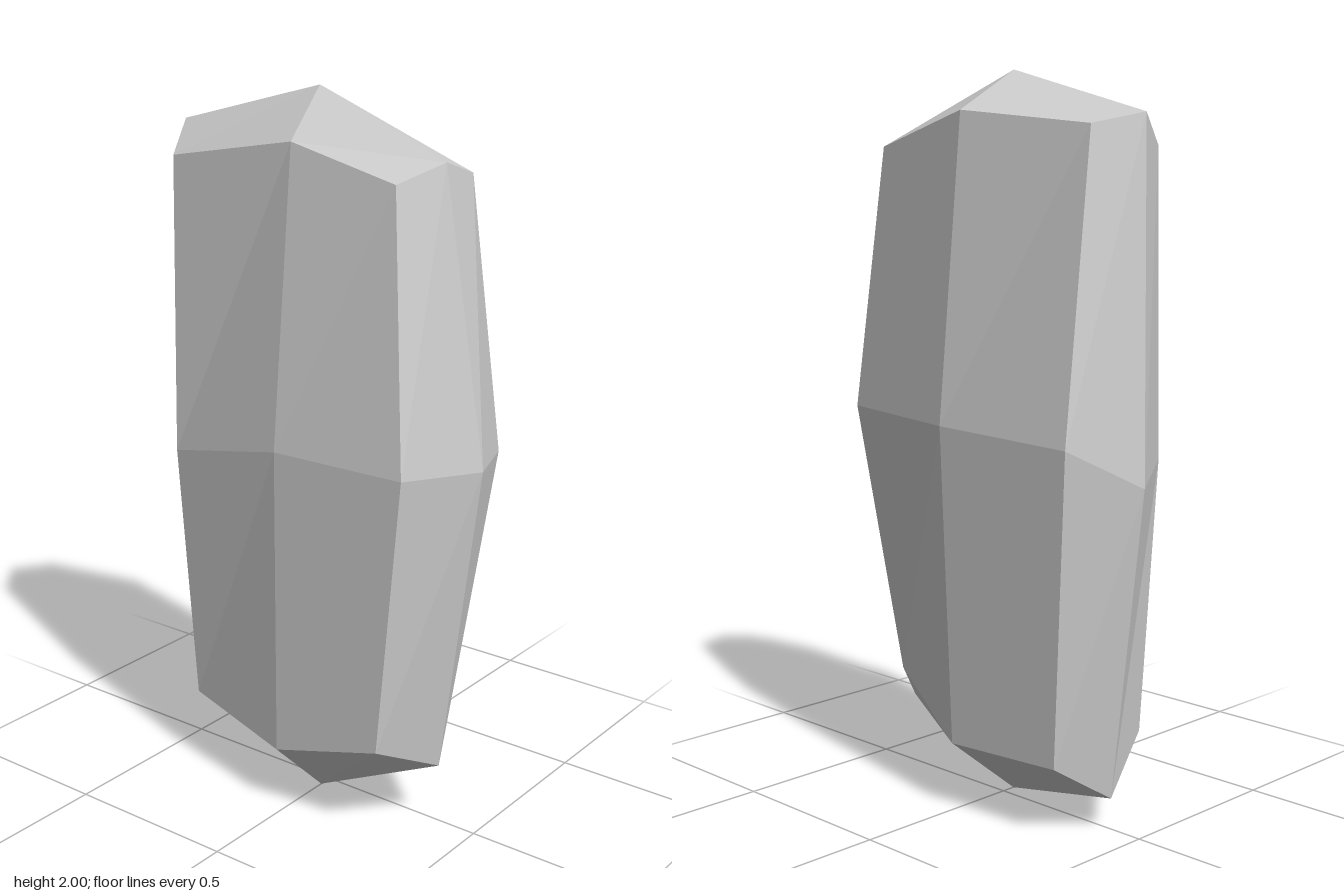
import * as THREE from 'three';

// Three rings of the stone, each from back to front, right to left: [x, y, z]
const LAYERS = [
  // underside
  [
    [[-0.36, 0.2, -0.18], [0, 0.19, -0.2], [0.33, 0.31, -0.08]],
    [[-0.41, 0.09, -0.01], [0, 0, 0.04], [0.4, 0.19, 0.03]],
    [[-0.37, 0.23, 0.15], [-0.01, 0.19, 0.23], [0.33, 0.29, 0.23]],
  ],
  // waist
  [
    [[-0.43, 1.05, -0.22], [0, 1.07, -0.24], [0.46, 1.07, -0.13]],
    [[-0.52, 0.94, -0.02], [0, 1, 0.04], [0.52, 1.07, 0.04]],
    [[-0.4, 0.98, 0.18], [0, 1.07, 0.24], [0.4, 1.07, 0.23]],
  ],
  // crown
  [
    [[-0.4, 1.85, -0.1], [0, 1.89, -0.16], [0.39, 1.8, -0.08]],
    [[-0.46, 1.88, 0.04], [0, 2, 0.04], [0.39, 1.84, 0.04]],
    [[-0.4, 1.8, 0.16], [0, 1.87, 0.16], [0.31, 1.79, 0.14]],
  ],
];

export function createModel() {
  const group = new THREE.Group();
  group.name = 'rock';

  // A 2 x 2 x 2 grid box whose grid points are moved to the chipped stone shape
  const box = new THREE.BoxGeometry(2, 2, 2, 2, 2, 2);
  const pos = box.attributes.position;
  for (let i = 0; i < pos.count; i++) {
    const [ix, iy, iz] = [pos.getX(i), pos.getY(i), pos.getZ(i)].map((v) => Math.round(v) + 1);
    pos.setXYZ(i, ...LAYERS[iy][iz][ix]);
  }
  const geometry = box.toNonIndexed();
  geometry.computeVertexNormals();

  const stone = new THREE.Mesh(
    geometry,
    new THREE.MeshStandardMaterial({ color: 0xcccccc, flatShading: true })
  );
  stone.name = 'stone';
  group.add(stone);
  return group;
}
